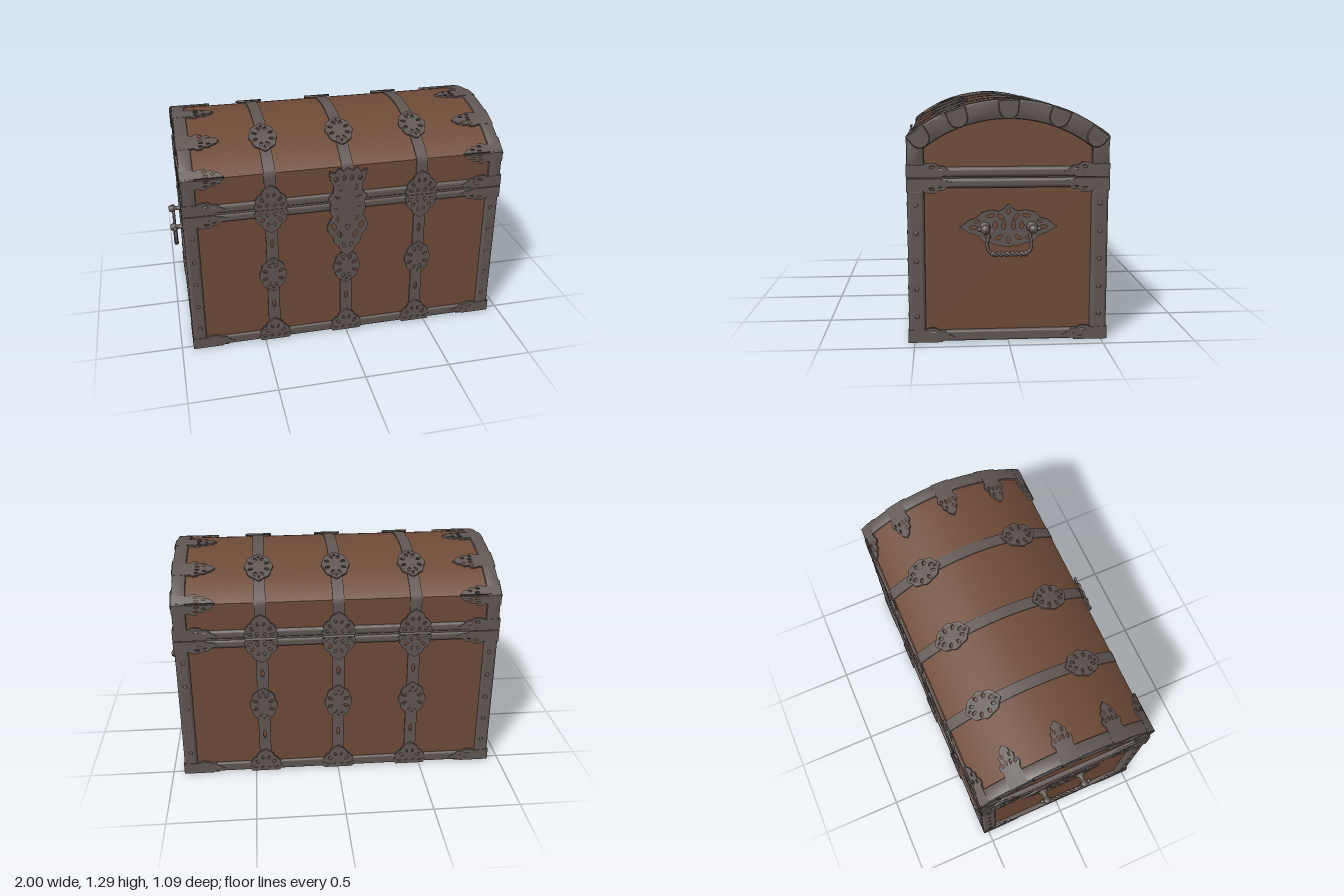
import * as THREE from 'three';
import { toCreasedNormals } from 'three/addons/utils/BufferGeometryUtils.js';
import { RoundedBoxGeometry } from 'three/addons/geometries/RoundedBoxGeometry.js';

const wood = new THREE.MeshStandardMaterial({ color: 0x6f4b38 });
wood.name = 'brown wood';
const iron = new THREE.MeshStandardMaterial({ color: 0x605753 });
iron.name = 'dark iron';

// Lid arc: radius, centre height and angle at which it meets the upright wall
const R = 0.825, CY = 0.455, WALL = 0.515, A0 = Math.asin(WALL / R);

function add(parent, name, geo, mat, x = 0, y = 0, z = 0) {
  const m = new THREE.Mesh(geo, mat);
  m.name = name;
  m.position.set(x, y, z);
  parent.add(m);
  return m;
}

// Thin plate with elliptical piercings: hole = [x, y, rx, ry, rotation]
function pierced(points, holes, depth) {
  const shape = new THREE.Shape(points.map(([x, y]) => new THREE.Vector2(x, y)));
  for (const [x, y, rx, ry, rot = 0] of holes) {
    const p = new THREE.Path();
    p.absellipse(x, y, rx, ry, 0, Math.PI * 2, true, rot);
    shape.holes.push(p);
  }
  return new THREE.ExtrudeGeometry(shape, { depth, bevelEnabled: false, curveSegments: 5 });
}

const mirrorPoints = half => [...half, ...half.filter(p => p[0] > 0).reverse().map(([x, y]) => [-x, y])];
const mirrorHoles = hs => hs.flatMap(h => h[0] === 0 ? [h] : [h, [-h[0], h[1], h[2], h[3], -(h[4] || 0)]]);

// Scalloped oval with pointed ends and a ring of petals
function medallion() {
  const pts = [], holes = [];
  for (let i = 0; i < 48; i++) {
    const t = i / 48 * Math.PI * 2, r = 1 + 0.045 * Math.cos(8 * t) + 0.1 * Math.sin(t) ** 8;
    pts.push([0.078 * r * Math.cos(t), 0.097 * r * Math.sin(t)]);
  }
  for (let i = 0; i < 8; i++) {
    const t = (i + 0.5) / 8 * Math.PI * 2;
    holes.push([0.05 * Math.cos(t), 0.066 * Math.sin(t), 0.015, 0.009, t]);
  }
  holes.push([0, 0.083, 0.006, 0.01], [0, -0.083, 0.006, 0.01]);
  return pierced(pts, holes, 0.012);
}

// Half rosette standing on its wide edge, s = -1 hangs it downwards
function halfRosette(s) {
  const half = [[0, 0], [0.085, 0], [0.098, 0.025], [0.086, 0.042], [0.09, 0.06], [0.07, 0.088], [0.055, 0.094],
    [0.046, 0.118], [0.03, 0.13], [0, 0.148]];
  const holes = [[0.064, 0.028, 0.015, 0.008, 0.4], [0.05, 0.062, 0.014, 0.008, 0.9], [0.018, 0.09, 0.012, 0.006, 1.3],
    [0.022, 0.03, 0.008, 0.012, 0]];
  return pierced(mirrorPoints(half).map(([x, y]) => [x, y * s]),
    mirrorHoles(holes).map(([x, y, a, b, r]) => [x, y * s, a, b, r * s]), 0.012);
}

// Corner leaf running along x, mirrored by sx and sy
function leaf(sx, sy) {
  const pts = [[0, 0], [0, 0.07], [0.08, 0.066], [0.11, 0.078], [0.145, 0.077], [0.165, 0.062], [0.19, 0.062],
    [0.21, 0.045], [0.245, 0.026], [0.22, 0.012], [0.19, 0.01], [0.17, 0]];
  const holes = [[0.13, 0.055, 0.015, 0.007, 0.2], [0.175, 0.042, 0.012, 0.006, -0.4], [0.145, 0.025, 0.014, 0.006, 0]];
  return pierced(pts.map(([x, y]) => [x * sx, y * sy]),
    holes.map(([x, y, a, b, r]) => [x * sx, y * sy, a, b, r * sx * sy]), 0.012);
}

// Half of a lid finger pointing inward from the rim, sy picks the half
function halfFinger(sx, sy) {
  const pts = [[0, 0], [0, 0.055], [0.1, 0.05], [0.115, 0.06], [0.14, 0.058], [0.155, 0.042], [0.18, 0.045],
    [0.2, 0.028], [0.215, 0.026], [0.24, 0]];
  const holes = [[0.135, 0.038, 0.012, 0.007], [0.18, 0.022, 0.012, 0.006], [0.14, 0.012, 0.014, 0.006]];
  return pierced(pts.map(([x, y]) => [x * sx, y * sy]), holes.map(([x, y, a, b]) => [x * sx, y * sy, a, b]), 0.012);
}

// Wraps a plate over the lid: its y becomes distance from the ridge, its z the height above the wood
function wrap(geo, s0 = 0) {
  const p = geo.attributes.position;
  for (let i = 0; i < p.count; i++) {
    const s = -(p.getY(i) + s0), h = p.getZ(i), a = Math.min(Math.abs(s) / R, A0);
    const drop = Math.max(0, Math.abs(s) - A0 * R), side = Math.sign(s);
    p.setXYZ(i, p.getX(i), CY + (R + h) * Math.cos(a) - drop,
      side * (drop > 0 ? WALL + h : (R + h) * Math.sin(a)));
  }
  return toCreasedNormals(geo, 0.5);
}

function buildHandle(side) {
  const plateHalf = [[0, 0.125], [0.022, 0.1], [0.05, 0.085], [0.09, 0.092], [0.14, 0.08], [0.17, 0.05], [0.205, 0.04],
    [0.258, 0], [0.205, -0.03], [0.16, -0.045], [0.135, -0.08], [0.09, -0.085], [0.05, -0.1], [0, -0.105]];
  const plateHoles = [[0, 0.085, 0.009, 0.018], [0.04, 0.055, 0.02, 0.01, 0.7], [0.095, 0.062, 0.022, 0.009, -0.2],
    [0.185, 0, 0.022, 0.01], [0.165, 0.032, 0.014, 0.006, -0.5], [0.07, 0.01, 0.012, 0.02], [0.025, 0.01, 0.01, 0.025],
    [0.05, -0.055, 0.02, 0.01, -0.6], [0.11, -0.05, 0.02, 0.008, 0.3], [0, -0.07, 0.008, 0.018]];
  add(side, 'handlePlate', pierced(mirrorPoints(plateHalf), mirrorHoles(plateHoles), 0.01), iron, 0, 0.62, 0.905);
  for (const s of [-1, 1]) {
    const post = new THREE.LatheGeometry([[0.03, 0], [0.026, 0.012], [0.014, 0.02], [0.013, 0.045], [0.022, 0.055],
      [0.024, 0.07], [0.016, 0.082], [0, 0.085]].map(([x, y]) => new THREE.Vector2(x, y)), 14).rotateX(Math.PI / 2);
    add(side, 'handlePost', post, iron, s * 0.125, 0.62, 0.914);
    add(side, 'handleFinial', new THREE.SphereGeometry(0.013, 10, 8), iron, s * 0.155, 0.62, 0.972);
    const arm = new THREE.CatmullRomCurve3([[0.125, 0.615], [0.108, 0.59], [0.116, 0.545], [0.108, 0.505], [0.085, 0.49]]
      .map(([x, y]) => new THREE.Vector3(s * x, y, 0.97)));
    add(side, 'handleArm', new THREE.TubeGeometry(arm, 16, 0.009, 8), iron);
    add(side, 'handleCollar', new THREE.SphereGeometry(0.014, 10, 8), iron, s * 0.088, 0.49, 0.97);
  }
  // Twisted grip: two strands wound round each other
  for (const phase of [0, Math.PI]) {
    const pts = [];
    for (let i = 0; i <= 48; i++) {
      const t = i / 48, a = phase + t * Math.PI * 7;
      pts.push(new THREE.Vector3(-0.088 + 0.176 * t, 0.487 + 0.006 * Math.cos(a), 0.97 + 0.006 * Math.sin(a)));
    }
    add(side, 'twistedGrip', new THREE.TubeGeometry(new THREE.CatmullRomCurve3(pts), 72, 0.008, 7), iron);
  }
}

export function createModel() {
  const chest = new THREE.Group();
  chest.name = 'treasureChest';

  // Wooden body and domed lid
  add(chest, 'body', new THREE.BoxGeometry(1.81, 0.88, 1.03), wood, 0, 0.45, 0);
  add(chest, 'floor', new THREE.BoxGeometry(1.8, 0.01, 1.0), wood, 0, 0.008, 0);
  const profile = new THREE.Shape();
  profile.moveTo(-WALL, 0.89);
  profile.lineTo(WALL, 0.89);
  profile.absarc(0, CY, R, Math.PI / 2 - A0, Math.PI / 2 + A0, false);
  const dome = new THREE.ExtrudeGeometry(profile, { depth: 1.81, bevelEnabled: false, curveSegments: 40 })
    .translate(0, 0, -0.905).rotateY(Math.PI / 2);
  add(chest, 'lid', toCreasedNormals(dome, 0.3), wood);

  // Iron rails round the bottom and on both sides of the opening
  add(chest, 'bottomRail', new RoundedBoxGeometry(1.86, 0.058, 1.06, 3, 0.012), iron, 0, 0.035, 0);
  add(chest, 'bodyRail', new RoundedBoxGeometry(1.86, 0.054, 1.06, 4, 0.02), iron, 0, 0.857, 0);
  add(chest, 'lidRail', new RoundedBoxGeometry(1.86, 0.054, 1.06, 4, 0.02), iron, 0, 0.914, 0);
  add(chest, 'seam', new THREE.BoxGeometry(1.835, 0.02, 1.045), iron, 0, 0.885, 0);

  for (const sx of [-1, 1]) {
    // Corner posts and patches under the floor
    for (const sz of [-1, 1]) {
      add(chest, 'cornerPost', new RoundedBoxGeometry(0.08, 0.82, 0.09, 3, 0.02), iron, sx * 0.89, 0.42, sz * 0.485);
      const patch = [[0, 0], [0.2, 0], [0.19, 0.05], [0.15, 0.08], [0.13, 0.13], [0.08, 0.16], [0, 0.17]]
        .map(([x, y]) => [-sx * x, -sz * y]);
      add(chest, 'floorCorner', pierced(patch, [], 0.008).rotateX(Math.PI / 2), iron, sx * 0.922, 0.008, sz * 0.522);
    }
    // Arched rim at each end of the lid
    const shape = new THREE.Shape(), a = Math.asin(0.53 / 0.837), b = Math.asin(0.44 / 0.72);
    shape.moveTo(0.44, 0.9);
    shape.lineTo(0.53, 0.9);
    shape.absarc(0, CY, 0.837, Math.PI / 2 - a, Math.PI / 2 + a, false);
    shape.lineTo(-0.53, 0.9);
    shape.lineTo(-0.44, 0.9);
    shape.absarc(0, 0.47, 0.72, Math.PI / 2 + b, Math.PI / 2 - b, true);
    const rim = new THREE.ExtrudeGeometry(shape, { depth: 0.06, bevelThickness: 0.008, bevelSize: 0.008,
      bevelOffset: -0.008, bevelSegments: 2, curveSegments: 32 }).translate(0, 0, -0.03).rotateY(Math.PI / 2);
    add(chest, 'lidRim', toCreasedNormals(rim, 0.6), iron, sx * 0.888, 0, 0);

    // Fingers over the dome and half fingers at its edge
    for (const sy of [-1, 1]) {
      for (const z of [-0.3, 0, 0.3]) {
        const half = halfFinger(-sx, sy).translate(sx * 0.928, 0, 0.001);
        add(chest, 'lidFinger', wrap(half, R * Math.asin(z / R)), iron);
      }
      add(chest, 'lidEdgeFinger', wrap(halfFinger(-sx, -sy).translate(sx * 0.928, 0, 0.001), sy * A0 * R), iron);
    }
  }

  // Straps over the lid with a medallion on each slope
  for (const x of [-0.44, 0, 0.44]) {
    const strap = new THREE.BoxGeometry(0.066, 1.43, 0.01, 1, 60, 1).toNonIndexed().translate(x, 0, 0.002);
    add(chest, 'lidStrap', wrap(strap), iron);
    for (const z of [-0.3, 0.3]) {
      add(chest, 'lidMedallion', wrap(medallion().translate(x, 0, 0.004), R * Math.asin(z / R)), iron);
    }
  }

  // Four walls, each built facing +z and then turned
  for (let k = 0; k < 4; k++) {
    const long = k % 2 === 0, w = long ? 0.93 : 0.53, d = long ? 0.53 : 0.93;
    const side = new THREE.Group();
    side.name = ['frontFittings', 'leftFittings', 'backFittings', 'rightFittings'][k];
    side.rotation.y = k * Math.PI / 2;
    chest.add(side);

    for (const s of [-1, 1]) {
      for (const [y, sy] of [[0.003, 1], [0.883, -1], [0.887, 1]]) {
        add(side, 'cornerLeaf', leaf(-s, sy), iron, s * w, y, d - 0.009);
      }
      if (long) add(side, 'lidCornerFinger', halfFinger(-s, -1), iron, s * 0.928, 1.1, d - 0.012);
      for (let i = 0; i < 5; i++) {
        const rivet = new THREE.SphereGeometry(0.012, 10, 6).scale(1, 1, 0.35);
        add(side, 'rivet', rivet, iron, s * (w - 0.045), 0.145 + i * 0.15, d);
      }
    }

    if (long) {
      for (const x of [-0.44, 0, 0.44]) {
        const strap = [[-0.035, 0.06], [0.035, 0.06], [0.035, 0.84], [-0.035, 0.84]];
        add(side, 'strap', pierced(strap, [[0, 0.25, 0.009, 0.026], [0, 0.66, 0.009, 0.026]], 0.012), iron, x, 0, 0.512);
        add(side, 'medallion', medallion(), iron, x, 0.455, 0.519);
        for (const [y, s] of [[0.004, 1], [0.884, -1], [0.886, 1]]) {
          add(side, 'halfRosette', halfRosette(s), iron, x, y, 0.525);
        }
        if (k === 2) {
          add(side, 'hinge', new THREE.CylinderGeometry(0.009, 0.009, 0.18, 10).rotateZ(Math.PI / 2), iron, x, 0.885, 0.534);
        }
      }
    } else {
      // Rounded clamps gripping the arched rim
      for (const z of [-0.49, -0.28, 0, 0.28, 0.49]) {
        const u = new THREE.Shape();
        u.moveTo(0.052, 0.828);
        u.lineTo(-0.052, 0.828);
        u.lineTo(-0.048, 0.785);
        u.absarc(0, 0.785, 0.048, Math.PI, Math.PI * 2, false);
        const clamp = new THREE.ExtrudeGeometry(u, { depth: 0.006, bevelThickness: 0.004, bevelSize: 0.004, bevelSegments: 1 });
        add(side, 'rimClamp', clamp, iron, 0, CY, 0.923).rotation.z = -Math.asin(z / 0.837);
      }
      buildHandle(side);
    }

    // Lock plate and hasp
    if (k === 0) {
      const plate = [[0, 0.884], [0.1, 0.884], [0.105, 0.83], [0.09, 0.8], [0.12, 0.74], [0.115, 0.7], [0.085, 0.665],
        [0.08, 0.63], [0.05, 0.6], [0.04, 0.565], [0.018, 0.55], [0, 0.525]];
      const holes = [[0, 0.735, 0.012, 0.026], [0.08, 0.735, 0.012, 0.024, -0.3], [0.045, 0.68, 0.011, 0.022, -0.5],
        [0.05, 0.79, 0.011, 0.022, 0.4], [0.068, 0.845, 0.015, 0.01], [0.022, 0.61, 0.007, 0.018, -0.3]];
      add(side, 'lockPlate', pierced(mirrorPoints(plate), mirrorHoles(holes), 0.012), iron, 0, 0, 0.53);
      const hasp = [[0, 0.886], [0.1, 0.886], [0.115, 0.92], [0.088, 0.95], [0.082, 0.99], [0.102, 1.03], [0.11, 1.085],
        [0.075, 1.07], [0.055, 1.1], [0.025, 1.08], [0, 1.1]];
      const cuts = [[0.06, 0.925, 0.018, 0.01, 0.4], [0.045, 0.98, 0.009, 0.02, -0.2], [0.07, 1.035, 0.012, 0.014],
        [0.022, 1.04, 0.008, 0.018]];
      add(side, 'hasp', pierced(mirrorPoints(hasp), mirrorHoles(cuts), 0.012), iron, 0, 0, 0.53);
      add(side, 'haspPin', new THREE.CylinderGeometry(0.008, 0.008, 0.2, 10).rotateZ(Math.PI / 2), iron, 0, 0.885, 0.535);
    }
  }
  return chest;
}
